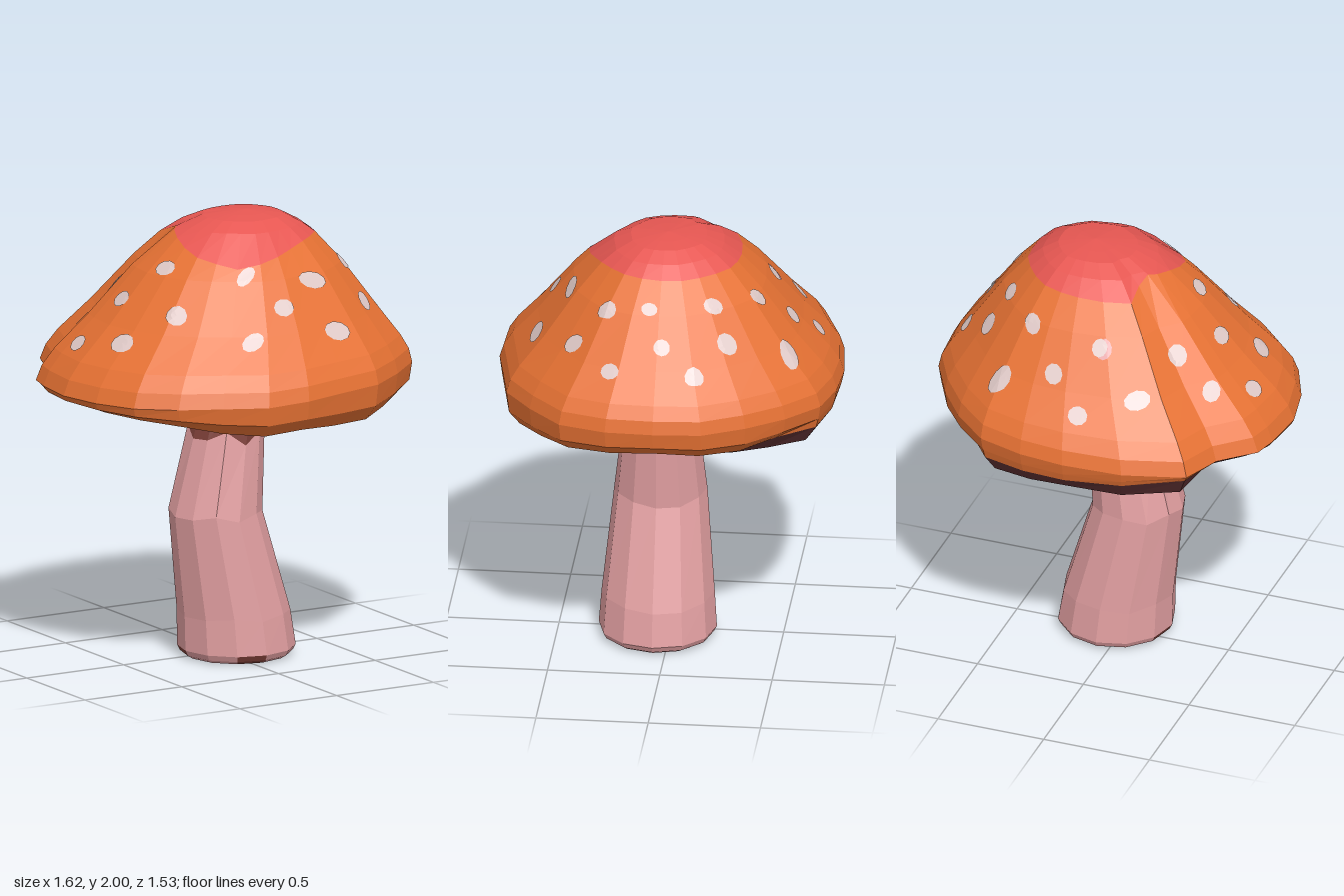
import * as THREE from 'three';

const N = 24;
const mat = (name, color, extra = {}) =>
  Object.assign(new THREE.MeshStandardMaterial({ color, flatShading: true, ...extra }), { name });

// Skin a list of rings, ordered from top to bottom, with outward faces.
// pick(row, column) chooses a material index when several are used.
function loft(rings, pick) {
  const buckets = [[], []];
  for (let r = 0; r < rings.length - 1; r++) {
    const n = rings[r].length;
    for (let i = 0; i < n; i++) {
      const j = (i + 1) % n;
      const [A, B, C, D] = [rings[r][i], rings[r][j], rings[r + 1][j], rings[r + 1][i]];
      const out = buckets[pick ? pick(r, i) : 0];
      if (A.distanceTo(B) > 1e-6) out.push(A, B, C);
      if (C.distanceTo(D) > 1e-6) out.push(A, C, D);
    }
  }
  const g = new THREE.BufferGeometry().setFromPoints(buckets.flat());
  if (pick) {
    g.addGroup(0, buckets[0].length, 0);
    g.addGroup(buckets[0].length, buckets[1].length, 1);
  }
  g.computeVertexNormals();
  return g;
}

const ringOf = (n, f) => Array.from({ length: n }, (_, i) => f(i, (i / n) * Math.PI * 2));

// Cap directions, every 15 degrees from +x towards +z, with a few shifted to form the dent in the rim
const shifted = { 14: 203, 15: 217, 16: 230, 17: 250 };
const capAngle = (i) => THREE.MathUtils.degToRad(shifted[i] ?? i * 15);
// Outline radius, lower edge height and gill lip height in each direction
const rimR = [.81, .83, .85, .81, .80, .755, .765, .785, .745, .76, .79, .795,
  .81, .815, .825, .77, .845, .79, .77, .785, .815, .80, .80, .82];
const edgeY = [1.2, 1.19, 1.18, 1.16, 1.14, 1.14, 1.15, 1.14, 1.15, 1.18, 1.2, 1.21,
  1.22, 1.23, 1.25, 1.27, 1.24, 1.21, 1.2, 1.2, 1.2, 1.2, 1.18, 1.19];
const lipY = [1.18, 1.17, 1.16, 1.14, 1.13, 1.14, 1.15, 1.14, 1.15, 1.17, 1.19, 1.2,
  1.2, 1.2, 1.21, 1.21, 1.15, 1.13, 1.14, 1.13, 1.12, 1.13, 1.15, 1.17];
// The gills wrap further out along the back
const edgeS = (i) => (i >= 13 && i <= 20 ? .97 : .92);
// Extent of the red crown, every 30 degrees, as a share of the outline
const crown = [.41, .40, .41, .46, .51, .46, .39, .34, .43, .42, .41, .41];
// Cap profile: share of outline, height, sideways lean
const profile = [[0, 2, .13], [.21, 1.985, .115], [.37, 1.925, .095], [.53, 1.8, .08],
  [.77, 1.56, .05], [.965, 1.38, .01], [1, 1.29, 0]];

function capPoint(i, s) {
  const a = capAngle(i);
  let k = 1;
  while (k < profile.length - 1 && s > profile[k][0]) k++;
  const [p, q] = [profile[k - 1], profile[k]];
  const t = (s - p[0]) / (q[0] - p[0]);
  const y = p[1] + (q[1] - p[1]) * t + 0.03 * Math.cos(a) * s ** 6;
  const cx = p[2] + (q[2] - p[2]) * t;
  return new THREE.Vector3(cx + Math.cos(a) * rimR[i] * s, y, Math.sin(a) * rimR[i] * s);
}
const capRing = (s) => ringOf(N, (i) => capPoint(i, s));
const lowRing = (s, y) => ringOf(N, (i) => {
  const a = capAngle(i), r = rimR[i] * s(i);
  return new THREE.Vector3(Math.cos(a) * r, y(i), Math.sin(a) * r);
});

// Spots seen from above: x, z, half width around the cap, half width down the slope,
// and a facing angle where it differs from straight down the slope
const spots = [
  [-.03, -.65, .045, .028], [-.27, -.54, .06, .03], [.12, -.55, .043, .028], [.37, -.56, .053, .042, -1.57],
  [-.06, -.45, .035, .026], [.27, -.41, .045, .027], [.52, -.30, .047, .03], [.44, -.23, .045, .025],
  [.67, -.17, .043, .026], [.61, -.02, .037, .022], [.51, .045, .037, .02], [.665, .205, .042, .022],
  [.485, .235, .045, .027], [.51, .38, .05, .027], [.22, .42, .072, .026, 1.5], [.26, .57, .068, .03, 1.45],
  [.02, .51, .05, .026], [-.17, .565, .05, .03], [-.09, .37, .045, .026, 1.57], [-.40, .29, .05, .032],
  [-.595, .15, .062, .035], [-.33, .08, .054, .03], [-.48, -.045, .053, .028], [-.66, -.12, .052, .03],
  [-.53, -.30, .046, .032], [-.365, -.29, .047, .033],
];

export function createModel() {
  const orange = mat('capOrange', 0xe97334);
  const red = mat('crownRed', 0xe75752);
  const plum = mat('gillPlum', 0x603234);
  const pink = mat('stemPink', 0xe3a0a2);
  const maroon = mat('stemMaroon', 0x7e4039);
  const black = mat('baseDark', 0x260c0c);
  const pale = mat('spotPale', 0xe0cac8, { side: THREE.DoubleSide });

  const group = new THREE.Group();
  group.name = 'mushroom';
  const add = (name, geo, material) => {
    const m = new THREE.Mesh(geo, material);
    m.name = name;
    group.add(m);
    return m;
  };

  // Cap: red crown, orange skirt rolled under at the rim, dark gills
  const border = ringOf(N, (i) => {
    const k = i >> 1;
    return capPoint(i, i % 2 ? (crown[k] + crown[(k + 1) % 12]) / 2 : crown[k]);
  });
  const crownMesh = add('capCrown', loft([capRing(0), capRing(.12), capRing(.22), capRing(.32), border]), red);
  const rim = capRing(1);
  const edge = lowRing(edgeS, (i) => edgeY[i]);
  const skirt = add('capSkirt', loft([border, capRing(.56), capRing(.77), capRing(.92), capRing(.975), rim,
    lowRing(() => .985, (i) => edgeY[i] * .6 + rim[i].y * .4), edge]), orange);
  add('gills', loft([edge, lowRing((i) => edgeS(i) - .07, (i) => lipY[i]),
    lowRing(() => .5, (i) => lipY[i] * .3 + .87), lowRing(() => 0, () => 1.25)]), plum);

  // Spots: thin patches laid on the cap surface
  const ray = new THREE.Raycaster();
  const down = new THREE.Vector3(0, -1, 0);
  const drop = (x, z, lift) => {
    ray.set(new THREE.Vector3(x, 3, z), down);
    const hit = ray.intersectObjects([crownMesh, skirt])[0];
    return hit.point.clone().addScaledVector(hit.face.normal, lift);
  };
  const patch = ([x, z, w, h, a = Math.atan2(z, x)], lift) => {
    const c = Math.cos(a), s = Math.sin(a);
    const ring = (f) => ringOf(10, (i, b) => {
      const u = Math.cos(b) * h * f, v = Math.sin(b) * w * f;
      return drop(x + c * u - s * v, z + s * u + c * v, lift);
    });
    return loft([ringOf(10, () => drop(x, z, lift)), ring(.5), ring(1)]);
  };
  for (const s of spots) add('spot', patch(s, .005), pale);
  add('pinkSpot', patch([-.08, -.45, .035, .03], .003), pink);

  // Stem: leaning, bent tube; each ring is height, centre x, centre z, radius
  const S = 12;
  const stemRing = ([y, cx, cz, r], wobble = 0) => ringOf(S, (i, a) => new THREE.Vector3(
    cx + Math.cos(a) * r, y + wobble * Math.sin(i * 2.4 + 4), cz + Math.sin(a) * r));
  const collar = stemRing([1.015, .0, .05, .17], .035);
  add('stemCollar', loft([stemRing([1.26, .04, .05, .16]), stemRing([1.13, .03, .05, .163]), collar]), maroon);
  const foot = stemRing([0, .05, .055, .225]);
  const chips = [3, 6];
  add('stem', loft([collar, stemRing([.66, -.057, .053, .208], .015), stemRing([.2, .035, .055, .252], .01),
    stemRing([.04, .05, .055, .263]), stemRing([.015, .05, .055, .25]), foot],
  (r, i) => (r >= 3 && chips.includes(i) ? 1 : 0)), [pink, maroon]);
  add('stemBase', loft([foot, stemRing([0, .05, .055, 0])]), black);

  return group;
}
